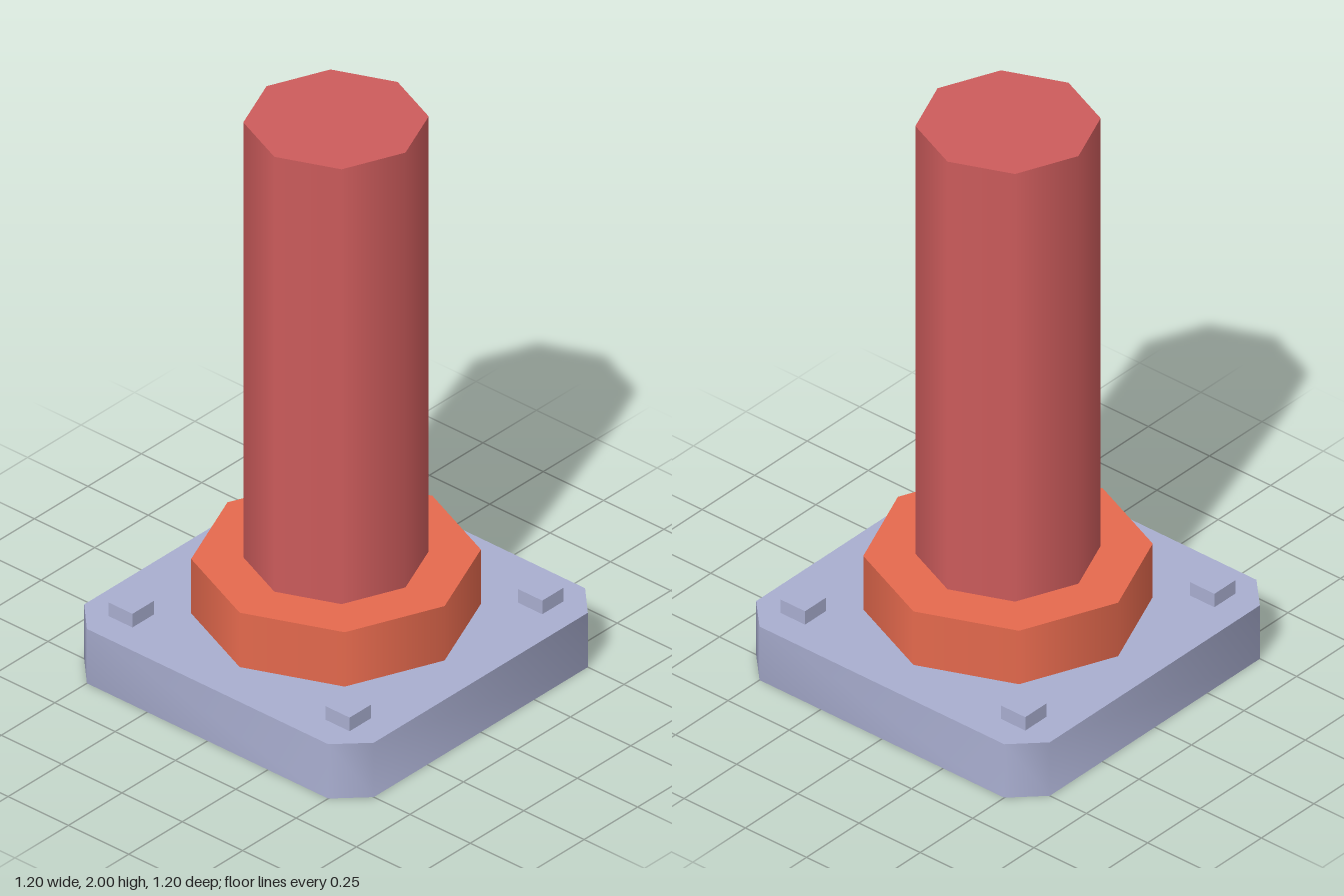
import * as THREE from 'three';
import { toCreasedNormals } from 'three/addons/utils/BufferGeometryUtils.js';

function material(name, color) {
  const m = new THREE.MeshStandardMaterial({ color });
  m.name = name;
  return m;
}

export function createModel() {
  const model = new THREE.Group();
  model.name = 'flangedPost';

  const steel = material('blue grey steel', 0xa9aed0);
  const orange = material('orange collar', 0xe66a4e);
  const red = material('red post', 0xcd5c5c);

  const add = (name, geometry, mat, x, y, z) => {
    const mesh = new THREE.Mesh(geometry, mat);
    mesh.name = name;
    mesh.position.set(x, y, z);
    model.add(mesh);
  };

  // Square base plate with cut corners, softly shaded around its rim
  const half = 0.6, cut = 0.5;
  const outline = new THREE.Shape([
    [cut, -half], [half, -cut], [half, cut], [cut, half],
    [-cut, half], [-half, cut], [-half, -cut], [-cut, -half],
  ].map(([x, y]) => new THREE.Vector2(x, y)));
  const plate = new THREE.ExtrudeGeometry(outline, { depth: 0.2, bevelEnabled: false });
  plate.rotateX(-Math.PI / 2);
  add('basePlate', toCreasedNormals(plate, 1), steel, 0, 0, 0);

  // Bolt heads at the four corners
  const bolt = new THREE.BoxGeometry(0.1, 0.05, 0.1);
  for (const x of [-0.45, 0.45]) {
    for (const z of [-0.45, 0.45]) add('boltHead', bolt, steel, x, 0.225, z);
  }

  // Eight-sided collar and post
  add('collar', new THREE.CylinderGeometry(0.45, 0.45, 0.2, 8), orange, 0, 0.3, 0);
  add('post', new THREE.CylinderGeometry(0.288, 0.288, 1.6, 8), red, 0, 1.2, 0);

  return model;
}
